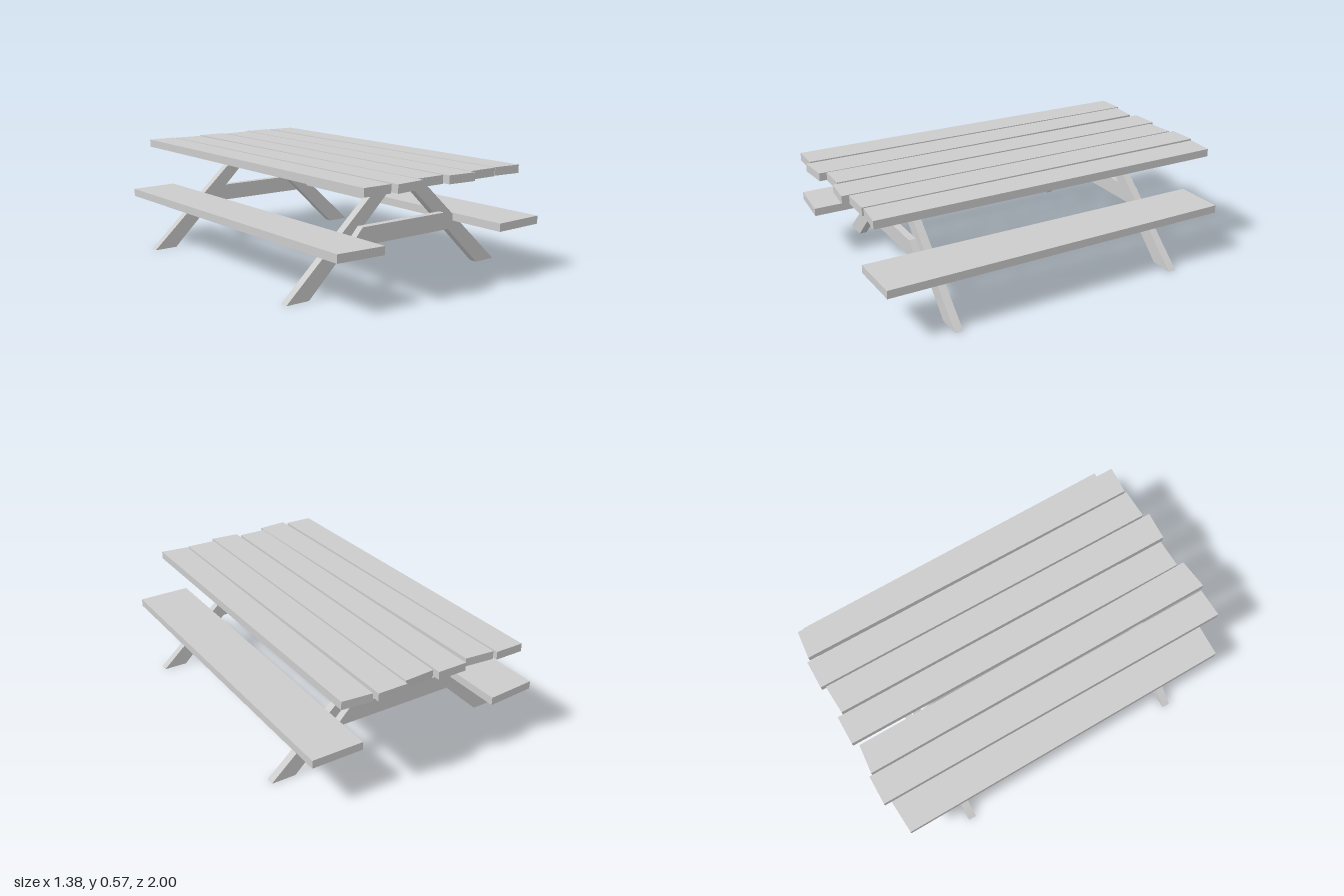
import * as THREE from 'three';

const material = new THREE.MeshStandardMaterial({ color: 0xcccccc, flatShading: true });

// Extrudes an outline of [a, b] points by the given depth
function slab(points, depth) {
  const shape = new THREE.Shape(points.map(([a, b]) => new THREE.Vector2(a, b)));
  return new THREE.ExtrudeGeometry(shape, { depth, bevelEnabled: false });
}

export function createModel() {
  const group = new THREE.Group();
  const add = (name, geometry) => {
    const mesh = new THREE.Mesh(geometry, material);
    mesh.name = name;
    group.add(mesh);
    return mesh;
  };

  // Horizontal board from its four [x, z] corners, lying between two heights
  const board = (name, corners, bottom, top) => {
    const geometry = slab(corners, top - bottom);
    geometry.rotateX(Math.PI / 2);
    geometry.translate(0, top, 0);
    return add(name, geometry);
  };

  // Slightly uneven table planks: back left, back right, front right, front left
  const planks = [
    [[-0.505, -0.995], [-0.35, -0.995], [-0.348, 0.97], [-0.505, 0.97]],
    [[-0.34, -0.98], [-0.185, -0.966], [-0.165, 0.98], [-0.33, 0.995]],
    [[-0.16, -0.995], [-0.003, -0.995], [-0.003, 0.943], [-0.16, 0.943]],
    [[0.01, -0.967], [0.17, -0.976], [0.17, 0.982], [0.012, 0.97]],
    [[0.18, -1.0], [0.335, -1.0], [0.345, 0.948], [0.18, 0.948]],
    [[0.355, -0.985], [0.51, -0.97], [0.51, 0.957], [0.355, 0.942]],
  ];
  planks.forEach((corners, i) => board(`tablePlank${i + 1}`, corners, 0.53, 0.572));

  // Bench seats
  board('rightBench', [[-0.64, -0.953], [-0.375, -0.97], [-0.37, 0.96], [-0.628, 0.943]], 0.253, 0.295);
  board('leftBench', [[0.37, -0.942], [0.64, -0.942], [0.66, 0.968], [0.37, 0.975]], 0.253, 0.295);

  // Long rail under the table top
  board('topRail', [[-0.135, -0.693], [0.135, -0.693], [0.135, 0.693], [-0.135, 0.693]], 0.497, 0.534);

  // Slanted legs and a cross brace on the outer side of each end
  const leg = [[0.56, 0], [0.69, 0], [0.135, 0.5], [0.035, 0.5]];
  const brace = [[-0.355, 0.225], [0.355, 0.225], [0.27, 0.315], [-0.27, 0.315]];
  for (const end of [1, -1]) {
    const endName = end > 0 ? 'front' : 'back';
    for (const side of [1, -1]) {
      const outline = leg.map(([x, y]) => [x * side, y]);
      const mesh = add(`${endName}${side > 0 ? 'Left' : 'Right'}Leg`, slab(outline, 0.042));
      mesh.position.z = end * 0.632 - 0.021;
    }
    add(`${endName}Brace`, slab(brace, 0.038)).position.z = end * 0.672 - 0.019;
  }
  return group;
}
